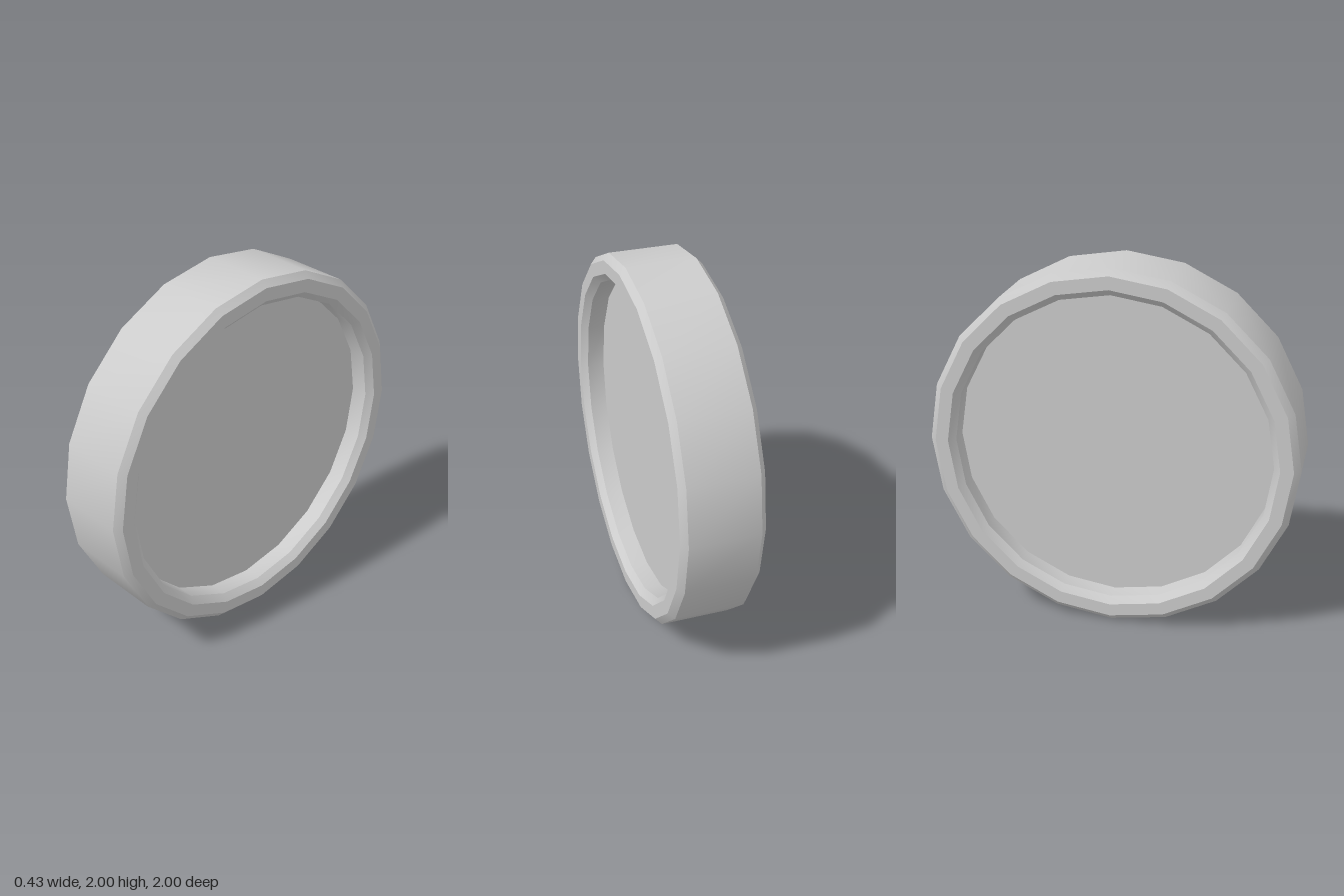
import * as THREE from 'three';
import { toCreasedNormals } from 'three/addons/utils/BufferGeometryUtils.js';

const SIDES = 20;
const DISC_HALF = 0.088;

export function createModel() {
  const model = new THREE.Group();
  model.name = 'wheel';
  const material = new THREE.MeshStandardMaterial({ color: 0xcccccc });

  // Half of the rim's section as [radius, offset along the axle], tread to recess
  const half = [[1, 0.185], [0.965, 0.217], [0.895, 0.217], [0.86, 0.182], [0.86, DISC_HALF]];
  const profile = [
    ...half.map(([r, a]) => new THREE.Vector2(r, -a)).reverse(),
    ...half.map(([r, a]) => new THREE.Vector2(r, a)),
  ];

  // Rim with bevelled edges, smooth around and sharp across the bevels
  const rim = new THREE.Mesh(toCreasedNormals(new THREE.LatheGeometry(profile, SIDES), 0.5), material);
  rim.name = 'rim';

  // Flat disc recessed on both sides
  const disc = new THREE.Mesh(new THREE.CylinderGeometry(0.86, 0.86, DISC_HALF * 2, SIDES), material);
  disc.name = 'disc';

  // Turn the axle to x and stand the wheel on the ground
  for (const part of [rim, disc]) {
    part.rotation.z = Math.PI / 2;
    part.position.y = 1;
    model.add(part);
  }
  return model;
}
